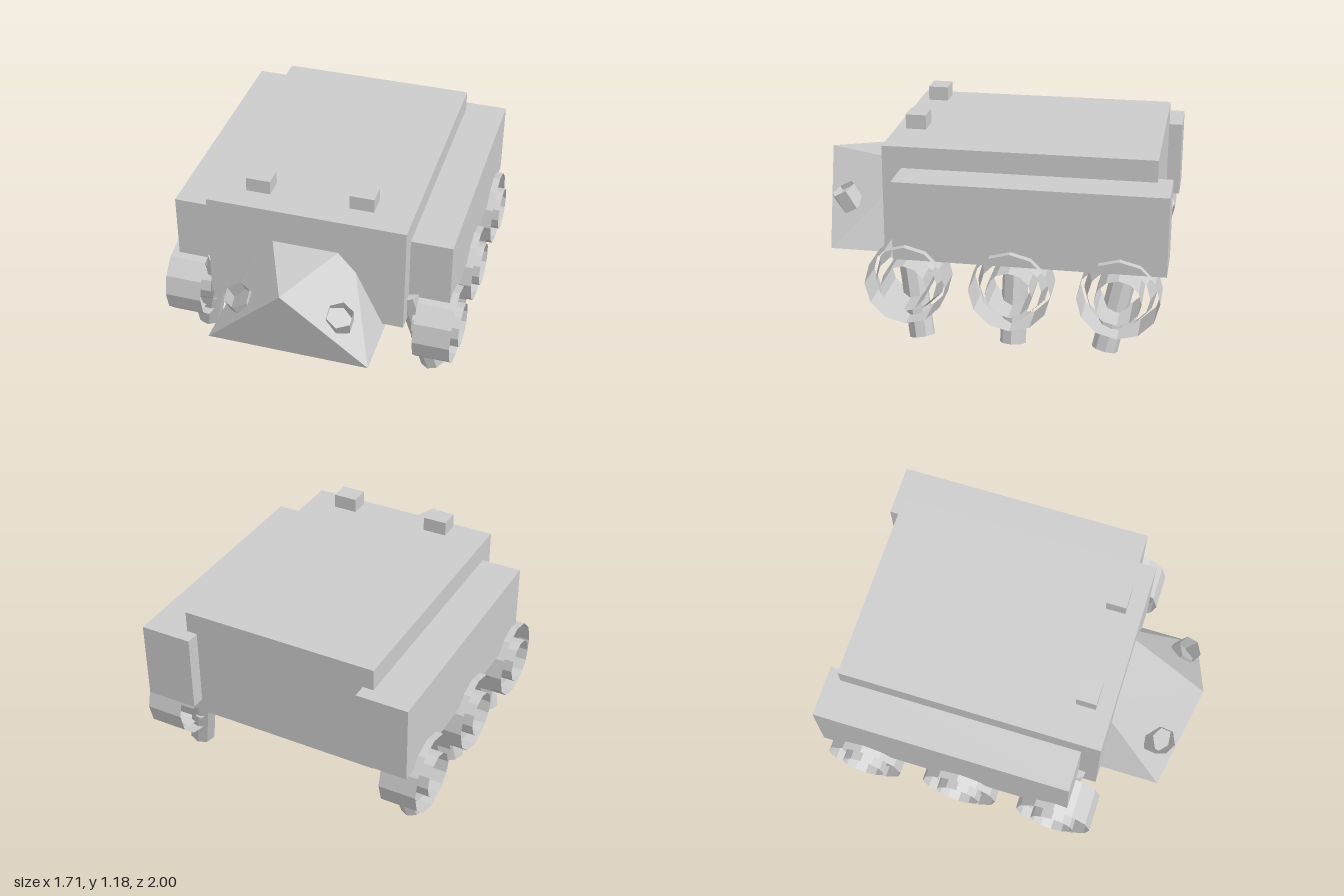
import * as THREE from 'three';

const grey = new THREE.MeshStandardMaterial({ color: 0xcccccc, side: THREE.DoubleSide, flatShading: true });
grey.name = 'plain grey';

export function createModel() {
  const model = new THREE.Group();
  model.name = 'sixLeggedRover';

  const add = (name, geometry) => {
    const mesh = new THREE.Mesh(geometry, grey);
    mesh.name = name;
    model.add(mesh);
    return mesh;
  };
  // Box given by its minimum and maximum corners
  const box = (name, x0, x1, y0, y1, z0, z1) =>
    add(name, new THREE.BoxGeometry(x1 - x0, y1 - y0, z1 - z0))
      .position.set((x0 + x1) / 2, (y0 + y1) / 2, (z0 + z1) / 2);
  // Cylinder between two points
  const rod = (name, a, b, r, sides, open) => {
    const from = new THREE.Vector3(...a), to = new THREE.Vector3(...b);
    const dir = to.clone().sub(from);
    const mesh = add(name, new THREE.CylinderGeometry(r, r, dir.length(), sides, 1, open));
    mesh.position.copy(from).add(to).multiplyScalar(0.5);
    mesh.quaternion.setFromUnitVectors(new THREE.Vector3(0, 1, 0), dir.normalize());
  };
  // Open barrel with its axis along x
  const barrel = (name, rOut, rIn, width, x, y, z, side) => {
    const mesh = add(name, new THREE.CylinderGeometry(rOut, rIn, width, 12, 1, true));
    mesh.rotation.z = -side * Math.PI / 2;
    mesh.position.set(side * x, y, z);
  };

  box('body', -0.555, 0.555, 0.425, 1.06, -0.922, 0.56);

  // Wedge head: pointed roof, sloping front and two creased cheeks
  const p = [
    [0, 0.86, 1], [-0.23, 0.86, 0.45], [0.23, 0.86, 0.45],
    [-0.45, 0.4, 0.9], [0.45, 0.4, 0.9], [-0.45, 0.4, 0.45], [0.45, 0.4, 0.45],
  ];
  const faces = [
    [0, 2, 1], [0, 3, 4], [0, 4, 2], [0, 1, 3], [2, 4, 6],
    [1, 5, 3], [3, 5, 6], [3, 6, 4], [1, 2, 6], [1, 6, 5],
  ];
  const head = new THREE.BufferGeometry();
  head.setAttribute('position', new THREE.Float32BufferAttribute(faces.flat().flatMap(i => p[i]), 3));
  head.computeVertexNormals();
  add('head', head);

  for (const s of [-1, 1]) {
    const [a, b] = s > 0 ? [0.495, 0.785] : [-0.785, -0.495];
    box('sidePod', a, b, 0.505, 0.94, -1, 0.455);

    // Small block floating over the roof
    const [c, d] = s > 0 ? [0.22, 0.355] : [-0.355, -0.22];
    box('roofBlock', c, d, 1.1, 1.18, 0.36, 0.472);

    // Open six-sided eye socket
    rod('eyeSocket', [s * 0.27, 0.595, 0.81], [s * 0.285, 0.70, 0.867], 0.075, 6, true);

    // Wheel z, then leg z at the top and at the foot
    for (const [z, top, foot] of [[0.385, 0.43, 0.325], [-0.18, -0.18, -0.18], [-0.755, -0.8, -0.68]]) {
      barrel('wheel', 0.22, 0.22, 0.21, 0.72, 0.37, z, s);
      barrel('wheelRing', 0.165, 0.195, 0.12, 0.72, 0.37, z, s);
      barrel('hub', 0.125, 0.125, 0.266, 0.72, 0.37, z, s);
      rod('leg', [s * 0.55, 0.58, top], [s * 0.685, 0.02, foot], 0.071, 8, false);
    }
  }
  return model;
}
